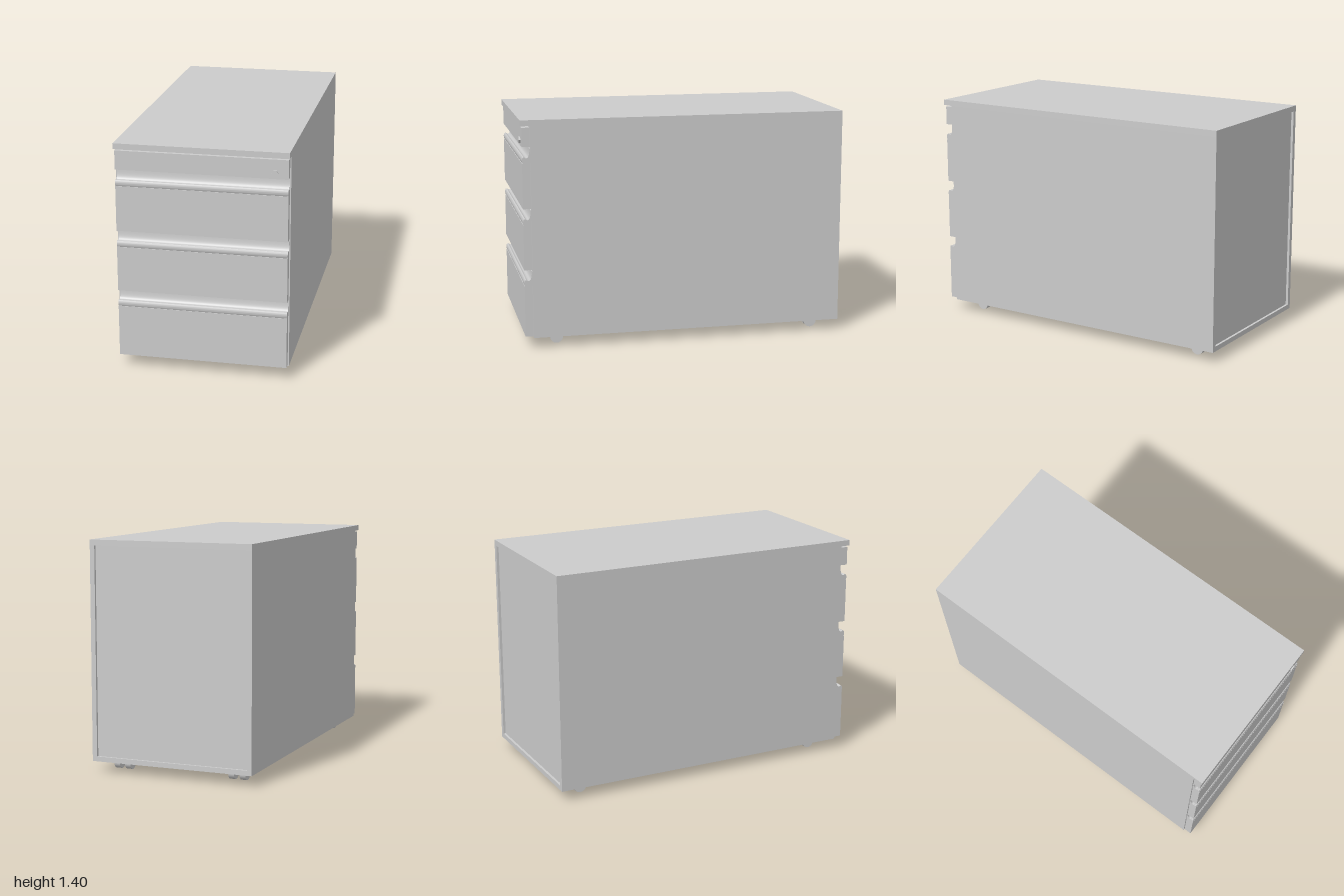
import * as THREE from 'three';
import { toCreasedNormals } from 'three/addons/utils/BufferGeometryUtils.js';

const material = new THREE.MeshStandardMaterial({ color: 0xcccccc });

export function createModel() {
  const model = new THREE.Group();
  model.name = 'drawerPedestal';

  const add = (name, geometry, parent = model) => {
    const mesh = new THREE.Mesh(geometry, material);
    mesh.name = name;
    parent.add(mesh);
    return mesh;
  };

  // Box given by its limits on each axis
  const box = (name, x0, x1, y0, y1, z0, z1, parent) => {
    const mesh = add(name, new THREE.BoxGeometry(x1 - x0, y1 - y0, z1 - z0), parent);
    mesh.position.set((x0 + x1) / 2, (y0 + y1) / 2, (z0 + z1) / 2);
    return mesh;
  };

  // Carcass: panels around a core whose back is slightly recessed
  const W = 0.515, inner = 0.485, base = 0.065, top = 1.4;
  box('topPanel', -W, W, 1.365, top, -1, 1);
  box('bottomPanel', -inner, inner, base, base + 0.03, -1, 0.94);
  box('leftPanel', inner, W, base, 1.365, -1, 0.94);
  box('rightPanel', -W, -inner, base, 1.365, -1, 0.94);
  box('core', -inner, inner, base + 0.03, 1.365, -0.985, 0.932);

  // Narrow top drawer with its lock
  const half = 0.508;
  box('topDrawerFront', -half, half, 1.24, 1.355, 0.942, 0.99);
  const lock = add('lock', new THREE.CylinderGeometry(0.02, 0.02, 0.012, 6).toNonIndexed());
  lock.geometry.computeVertexNormals();
  lock.rotation.set(Math.PI / 2, Math.PI / 6, 0);
  lock.position.set(0.43, 1.273, 0.994);

  // Drawer front with a rounded grip lip and a scooped rail behind it
  const drawer = (y0, y1) => {
    const group = new THREE.Group();
    group.name = 'drawer';
    model.add(group);
    box('drawerFront', -half, half, y0, y1, 0.942, 0.99, group);

    // Profile in the z, y plane
    const p = new THREE.Shape();
    p.moveTo(0.938, y1);
    p.lineTo(0.986, y1);
    p.quadraticCurveTo(0.996, y1 + 0.018, 0.986, y1 + 0.036);
    p.lineTo(0.978, y1 + 0.038);
    p.quadraticCurveTo(0.947, y1 + 0.014, 0.944, y1 + 0.09);
    p.lineTo(0.938, y1 + 0.09);
    p.closePath();
    const grip = new THREE.ExtrudeGeometry(p, { depth: 2 * half, bevelEnabled: false, curveSegments: 10 });
    grip.rotateY(-Math.PI / 2).translate(half, 0, 0);
    add('gripRail', toCreasedNormals(grip, 0.6), group);
  };
  [[0.865, 1.14], [0.49, 0.765], [0.075, 0.39]].forEach(([y0, y1]) => drawer(y0, y1));

  // Twin-wheel casters
  for (const side of [-1, 1]) {
    for (const z of [0.79, -0.845]) {
      const caster = new THREE.Group();
      caster.name = 'caster';
      caster.position.set(side * 0.375, 0.04, z);
      model.add(caster);
      for (const s of [-1, 1]) {
        const wheel = add('wheel', new THREE.CylinderGeometry(0.04, 0.04, 0.037, 20), caster);
        wheel.rotation.z = Math.PI / 2;
        wheel.position.x = s * 0.0355;
      }
      const axle = add('axle', new THREE.CylinderGeometry(0.015, 0.015, 0.05, 12), caster);
      axle.rotation.z = Math.PI / 2;
      const stem = add('stem', new THREE.CylinderGeometry(0.011, 0.011, 0.04, 12), caster);
      stem.position.y = 0.015;
    }
  }

  return model;
}
